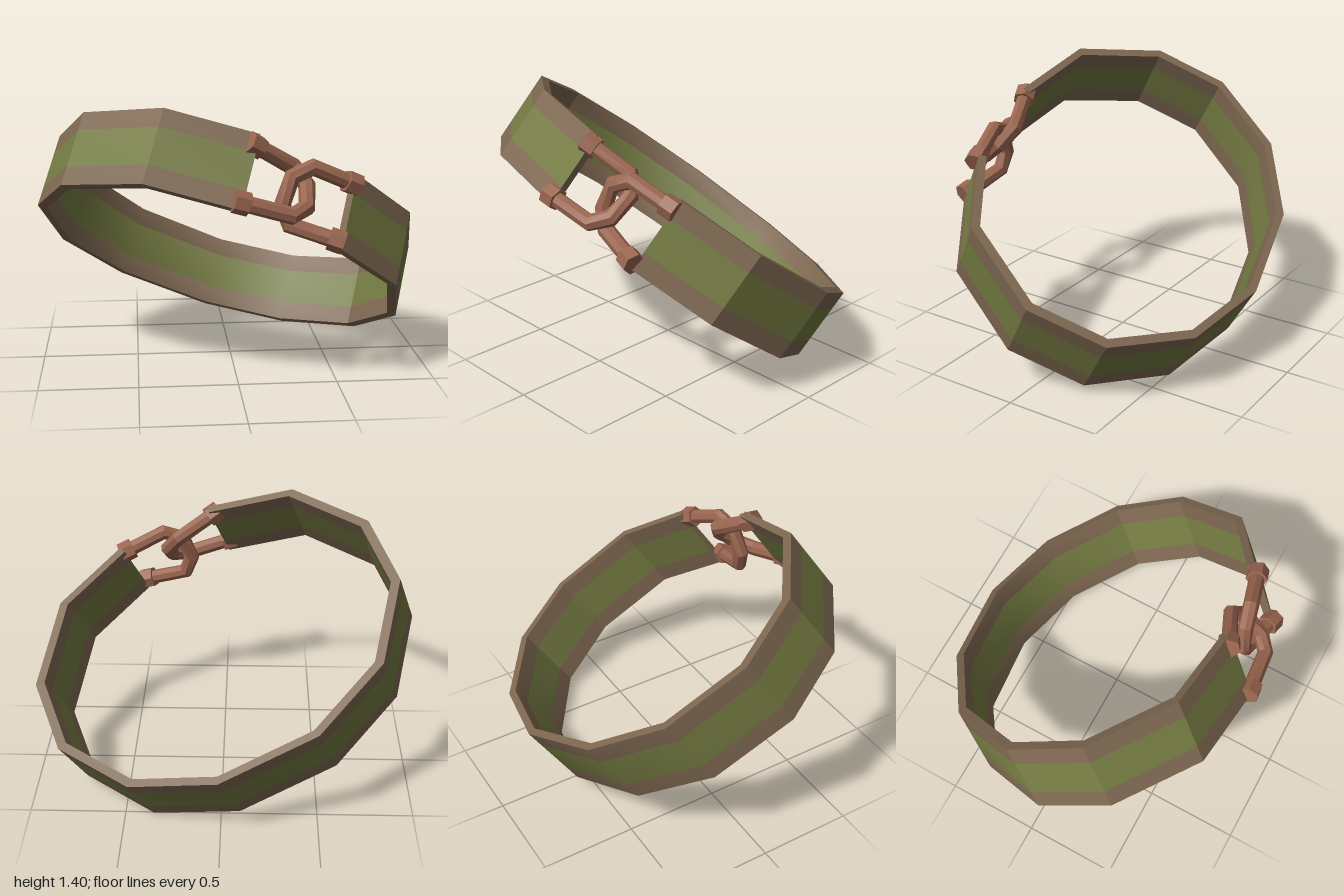
import * as THREE from 'three';
import { toCreasedNormals } from 'three/addons/utils/BufferGeometryUtils.js';

const leather = new THREE.MeshStandardMaterial({ name: 'brown leather', color: 0x7d6750 });
const stripe = new THREE.MeshStandardMaterial({ name: 'green stripe', color: 0x737a41 });
const copper = new THREE.MeshStandardMaterial({ name: 'copper', color: 0x99654f });

// Outline of the open band seen from above: [x, z], from one end to the other
const OUTLINE = [
  [-0.09, 0.785], [-0.56, 0.731], [-0.91, 0.395], [-0.991, 0.003], [-0.81, -0.429], [-0.43, -0.715],
  [0.105, -0.827], [0.56, -0.719], [0.905, -0.412], [1.0, -0.01], [0.819, 0.449], [0.44, 0.69],
];
const WIDTH = 0.4;
const INNER = 0.95;

function quadGeometry(quads) {
  const positions = [];
  for (const [a, b, c, d] of quads) for (const p of [a, b, c, a, c, d]) positions.push(...p);
  const geometry = new THREE.BufferGeometry();
  geometry.setAttribute('position', new THREE.Float32BufferAttribute(positions, 3));
  return toCreasedNormals(geometry, 0.53);
}

function mesh(geometry, material, name) {
  const m = new THREE.Mesh(geometry, material);
  m.name = name;
  return m;
}

const outer = (i, y) => [OUTLINE[i][0], y, OUTLINE[i][1]];
const inner = (i, y) => [OUTLINE[i][0] * INNER, y, OUTLINE[i][1] * INNER];

// Outside and inside walls of the band between two heights
function wallQuads(y0, y1) {
  const quads = [];
  for (let i = 0; i < OUTLINE.length - 1; i++) {
    const j = i + 1;
    quads.push([outer(i, y0), outer(i, y1), outer(j, y1), outer(j, y0)]);
    quads.push([inner(j, y0), inner(j, y1), inner(i, y1), inner(i, y0)]);
  }
  return quads;
}

// Rims along both edges and caps on both ends
function rimQuads() {
  const quads = [];
  const b = -WIDTH, t = 0, last = OUTLINE.length - 1;
  for (let i = 0; i < last; i++) {
    const j = i + 1;
    quads.push([outer(i, t), inner(i, t), inner(j, t), outer(j, t)]);
    quads.push([outer(j, b), inner(j, b), inner(i, b), outer(i, b)]);
  }
  quads.push([outer(0, b), inner(0, b), inner(0, t), outer(0, t)]);
  quads.push([outer(last, t), inner(last, t), inner(last, b), outer(last, b)]);
  return quads;
}

// Mitred bar with a bevelled section swept along a bent path
function barGeometry(points, radius, sides = 8) {
  const path = points.map((p) => new THREE.Vector3(...p));
  const rings = path.map((p, i) => {
    const into = path[i].clone().sub(path[Math.max(i - 1, 0)]).normalize();
    const out = path[Math.min(i + 1, path.length - 1)].clone().sub(p).normalize();
    const tangent = into.clone().add(out).normalize();
    const miter = 1 / Math.max(tangent.dot(out), tangent.dot(into));
    const side = new THREE.Vector3(0, 0, 1).addScaledVector(tangent, -tangent.z).normalize();
    const bend = side.clone().cross(tangent).multiplyScalar(miter);
    return Array.from({ length: sides }, (_, k) => {
      const a = ((k + 0.5) / sides) * Math.PI * 2;
      return p.clone().addScaledVector(bend, Math.cos(a) * radius)
        .addScaledVector(side, Math.sin(a) * radius).toArray();
    });
  });
  const quads = [];
  for (let i = 0; i < rings.length - 1; i++) {
    for (let k = 0; k < sides; k++) {
      const n = (k + 1) % sides;
      quads.push([rings[i][k], rings[i + 1][k], rings[i + 1][n], rings[i][n]].reverse());
    }
  }
  return quadGeometry(quads);
}

// Bent clasp link with a hexagonal knob at each foot
function link(name, points) {
  const group = new THREE.Group();
  group.name = name;
  group.add(mesh(barGeometry(points, 0.04), copper, 'linkBar'));
  for (const [foot, next] of [[points[0], points[1]], [points.at(-1), points.at(-2)]]) {
    const knob = mesh(
      toCreasedNormals(new THREE.CylinderGeometry(0.057, 0.057, 0.075, 6), 0.5), copper, 'linkKnob');
    const dir = new THREE.Vector3(...next).sub(new THREE.Vector3(...foot)).normalize();
    knob.quaternion.setFromUnitVectors(new THREE.Vector3(0, 1, 0), dir);
    knob.position.set(...foot);
    group.add(knob);
  }
  return group;
}

export function createModel() {
  const model = new THREE.Group();
  model.name = 'collar';

  // Everything is built level, then tilted as a whole
  const tilted = new THREE.Group();
  tilted.name = 'tiltedCollar';
  const up = new THREE.Vector3(0.273, 0.806, -0.524).normalize();
  const across = new THREE.Vector3(up.y, -up.x, 0).normalize();
  const forward = across.clone().cross(up);
  tilted.quaternion.setFromRotationMatrix(new THREE.Matrix4().makeBasis(across, up, forward));
  tilted.position.set(0.05, 0.864, -0.105);
  model.add(tilted);

  // Band with a green centre stripe on both sides
  const y1 = -WIDTH * 0.25, y2 = -WIDTH * 0.75;
  tilted.add(mesh(quadGeometry(wallQuads(y1, 0)), leather, 'upperBand'));
  tilted.add(mesh(quadGeometry(wallQuads(y2, y1)), stripe, 'centreStripe'));
  tilted.add(mesh(quadGeometry(wallQuads(-WIDTH, y2)), leather, 'lowerBand'));
  tilted.add(mesh(quadGeometry(rimQuads()), leather, 'bandRim'));

  // Two interlocked links leaning opposite ways
  tilted.add(link('rightLink', [
    [-0.1, -0.057, 0.769], [0.12, -0.06, 0.678], [0.205, -0.14, 0.695],
    [0.215, -0.27, 0.745], [0.15, -0.345, 0.775], [-0.1, -0.365, 0.79],
  ]));
  tilted.add(link('leftLink', [
    [0.42, -0.057, 0.698], [0.2, -0.066, 0.755], [0.115, -0.14, 0.74],
    [0.11, -0.27, 0.685], [0.175, -0.345, 0.655], [0.405, -0.366, 0.696],
  ]));
  return model;
}
